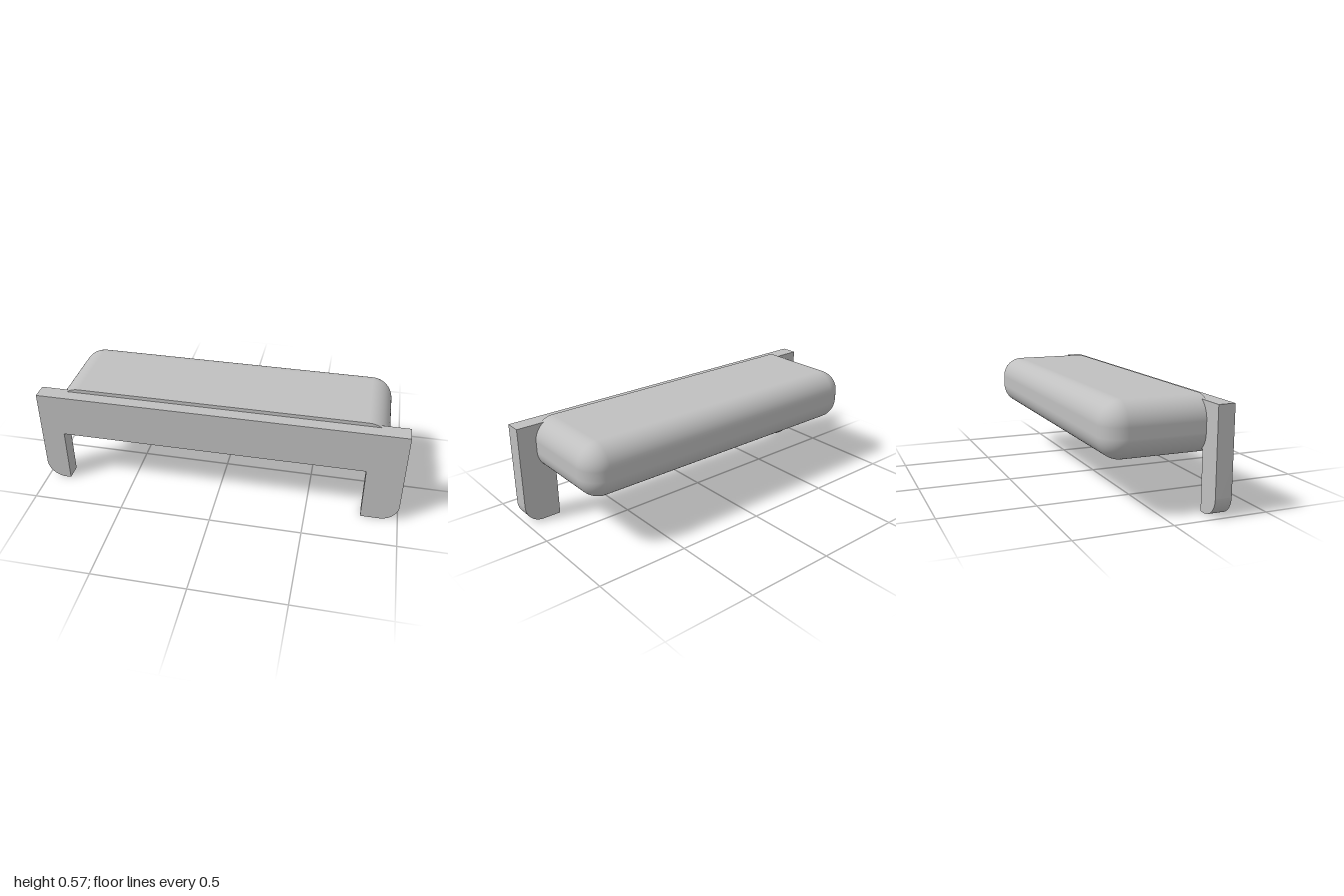
import * as THREE from 'three';
import { toCreasedNormals } from 'three/addons/utils/BufferGeometryUtils.js';
import { RoundedBoxGeometry } from 'three/addons/geometries/RoundedBoxGeometry.js';

const grey = new THREE.MeshStandardMaterial({ color: 0xc0c0c0 });
grey.name = 'grey';

// Rounded block whose front end is cut flat at z = front
function flatFrontBlock(width, height, back, front, r) {
  const depth = front + r - back;
  const g = new RoundedBoxGeometry(width, height, depth, 8, r);
  g.translate(0, 0, back + depth / 2);
  const p = g.attributes.position, n = g.attributes.normal;
  for (let i = 0; i < p.count; i += 3) {
    let flat = true;
    for (let j = i; j < i + 3; j++) {
      if (p.getZ(j) < front - 1e-4) flat = false;
      p.setZ(j, Math.min(p.getZ(j), front));
    }
    // triangles pressed onto the cut face point forward
    if (flat) for (let j = i; j < i + 3; j++) n.setXYZ(j, 0, 0, 1);
  }
  return g;
}

// Bridge-shaped plate with two legs, rounded at the outer feet
function plateGeometry() {
  const s = new THREE.Shape();
  const r = 0.1;
  s.moveTo(-1, 0.55);
  s.lineTo(-1, r);
  s.absarc(-1 + r, r, r, Math.PI, Math.PI * 1.5, false);
  s.lineTo(-0.87, 0);
  s.lineTo(-0.87, 0.31);
  s.lineTo(0.8, 0.31);
  s.lineTo(0.8, 0);
  s.lineTo(1 - r, 0);
  s.absarc(1 - r, r, r, Math.PI * 1.5, Math.PI * 2, false);
  s.lineTo(1, 0.55);
  s.closePath();
  const g = new THREE.ExtrudeGeometry(s, { depth: 0.089, bevelEnabled: false, curveSegments: 16 });
  g.translate(0, 0, 0.213);
  return toCreasedNormals(g, 0.5);
}

export function createModel() {
  const model = new THREE.Group();
  model.name = 'model';

  const plate = new THREE.Mesh(plateGeometry(), grey);
  plate.name = 'frontPlate';

  const body = new THREE.Mesh(flatFrontBlock(1.8, 0.288, -0.302, 0.233, 0.116), grey);
  body.name = 'roundedBody';
  body.position.y = 0.426;

  model.add(plate, body);
  return model;
}
